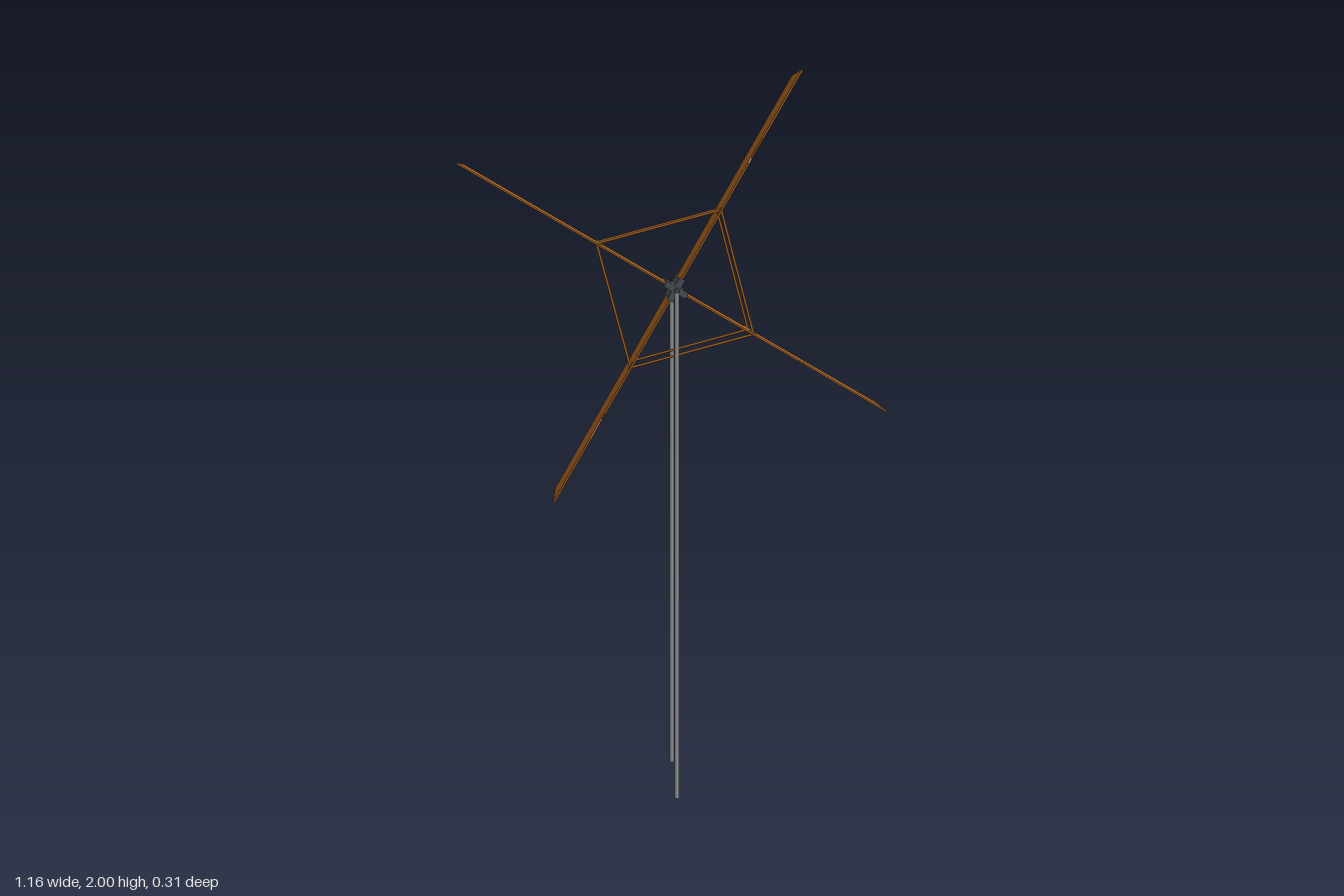
import * as THREE from 'three';

const HUB_Y = 1.42;
const BLADE_R = 0.67;
const HALF_W = 0.104;
const ROD_R = 0.246;

const material = (name, color) => {
  const m = new THREE.MeshStandardMaterial({ color });
  m.name = name;
  return m;
};

export function createModel() {
  const wood = material('wood', 0xa8621f);
  const darkMetal = material('dark metal', 0x4c5156);
  const steel = material('steel', 0x95979a);

  const model = new THREE.Group();
  model.name = 'windWheel';

  const add = (parent, name, geometry, mat, x = 0, y = 0, z = 0) => {
    const mesh = new THREE.Mesh(geometry, mat);
    mesh.name = name;
    mesh.position.set(x, y, z);
    parent.add(mesh);
    return mesh;
  };

  const rotor = new THREE.Group();
  rotor.name = 'rotor';
  rotor.position.y = HUB_Y;
  model.add(rotor);

  // Blade: a thin plank with a chipped notch in its front edge
  const outline = new THREE.Shape([
    [0, -HALF_W], [BLADE_R, -HALF_W], [BLADE_R, HALF_W],
    [0.465, HALF_W], [0.405, 0.089], [0.388, HALF_W], [0, HALF_W],
  ].map(([x, y]) => new THREE.Vector2(x, y)));
  const bladeGeo = new THREE.ExtrudeGeometry(outline, { depth: 0.005, bevelEnabled: false });
  bladeGeo.translate(0, 0, -0.0025).rotateX(Math.PI / 2);

  const rodGeo = new THREE.CylinderGeometry(0.0035, 0.0035, ROD_R * Math.SQRT2, 8);
  const pegGeo = new THREE.CylinderGeometry(0.005, 0.005, 0.022, 8).rotateZ(Math.PI / 2);
  const bracketGeo = new THREE.BoxGeometry(0.034, 0.012, 0.22);
  const clampGeo = new THREE.BoxGeometry(0.036, 0.018, 0.012);

  for (let i = 0; i < 4; i++) {
    const angle = Math.PI / 3 + i * Math.PI / 2;

    const arm = new THREE.Group();
    arm.name = 'bladeArm';
    arm.rotation.z = angle;
    rotor.add(arm);
    add(arm, 'blade', bladeGeo, wood);
    add(arm, 'hubBracket', bracketGeo, darkMetal, 0.013);

    // Rods bracing this blade to the next, front and back
    const brace = new THREE.Group();
    brace.name = 'brace';
    brace.rotation.z = angle + Math.PI / 4;
    rotor.add(brace);
    for (const side of [-1, 1]) {
      add(arm, 'hubClamp', clampGeo, darkMetal, 0.016, 0, side * 0.109);
      add(arm, 'rodPeg', pegGeo, wood, ROD_R - 0.005, 0, side * 0.08);
      add(brace, 'braceRod', rodGeo, wood, ROD_R * Math.SQRT1_2, 0, side * 0.08);
    }
  }

  // Axle through the hub
  add(rotor, 'hubCore', new THREE.CylinderGeometry(0.013, 0.013, 0.228, 12).rotateX(Math.PI / 2), darkMetal);
  add(rotor, 'axle', new THREE.CylinderGeometry(0.005, 0.005, 0.31, 12).rotateX(Math.PI / 2), darkMetal);

  // Two tall posts, each with a collar round the axle
  const postGeo = new THREE.CylinderGeometry(0.0065, 0.0065, HUB_Y + 0.006, 12);
  const collarGeo = new THREE.CylinderGeometry(0.008, 0.008, 0.016, 12).rotateX(Math.PI / 2);
  for (const side of [-1, 1]) {
    add(model, 'post', postGeo, steel, 0, (HUB_Y + 0.006) / 2, side * 0.143);
    add(model, 'axleCollar', collarGeo, darkMetal, 0, HUB_Y, side * 0.143);
  }
  return model;
}
